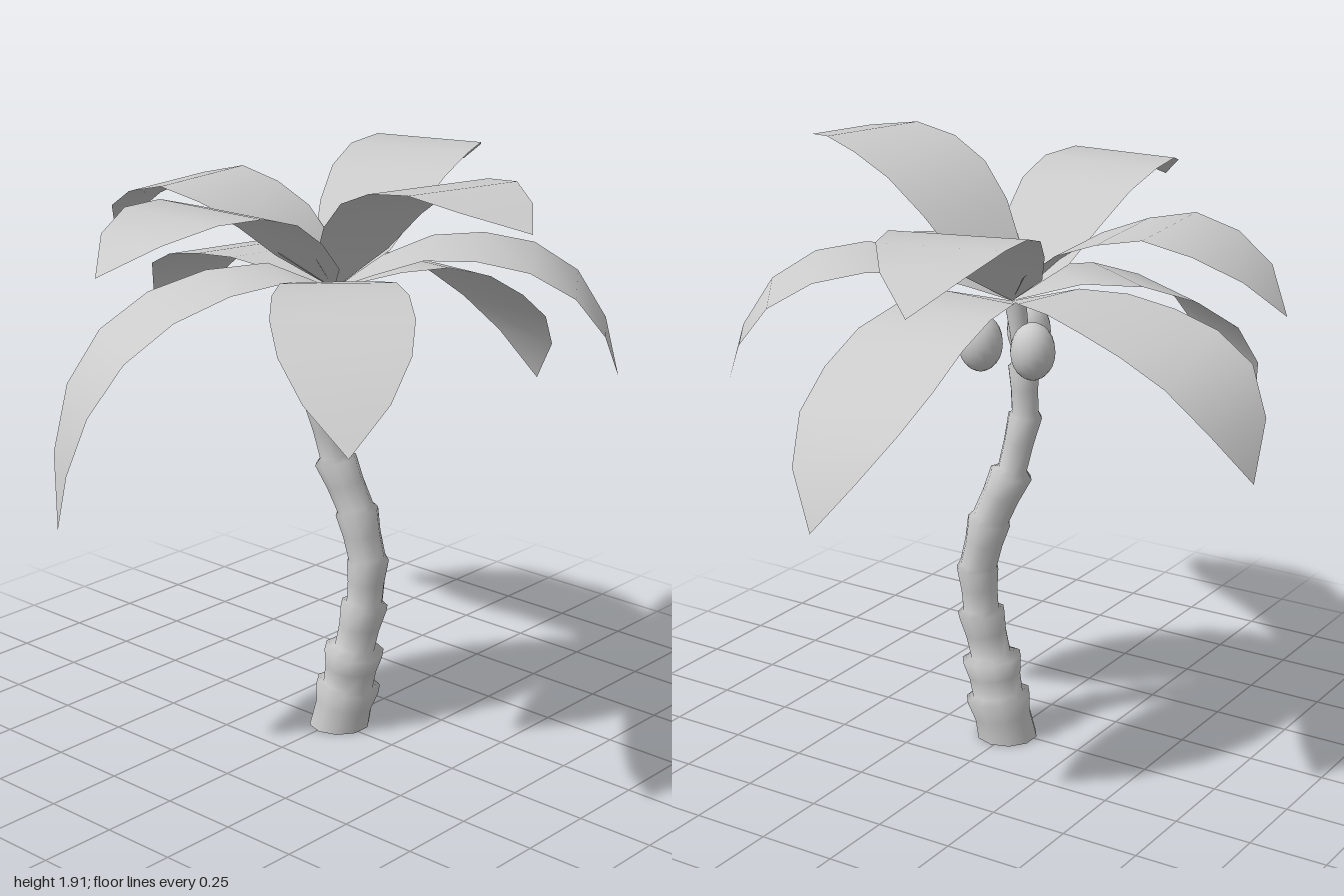
import * as THREE from 'three';

const mat = new THREE.MeshStandardMaterial({ color: 0xcccccc });
const leafMat = new THREE.MeshStandardMaterial({ color: 0xcccccc, side: THREE.DoubleSide });

function indexedGeometry(positions, indices) {
  const g = new THREE.BufferGeometry();
  g.setAttribute('position', new THREE.Float32BufferAttribute(positions, 3));
  g.setIndex(indices);
  g.computeVertexNormals();
  return g;
}

// Trunk: stacked flaring segments along a bent centre line, [x, y, z, lip radius]
function trunkGeometry() {
  const joints = [
    [0.01, 0, -0.015, 0.1], [0.035, 0.14, -0.03, 0.106], [0.06, 0.27, -0.03, 0.098],
    [0.09, 0.43, -0.045, 0.077], [0.1, 0.58, -0.05, 0.069], [0.063, 0.745, -0.038, 0.069],
    [-0.003, 0.91, -0.01, 0.066], [-0.036, 1.1, 0.02, 0.054], [-0.03, 1.26, 0.02, 0.05],
    [-0.008, 1.47, 0.005, 0.035],
  ];
  const rings = [joints[0]];
  for (let i = 1; i < joints.length; i++) {
    const a = joints[i - 1], b = joints[i];
    const mix = (t, r) => [0, 1, 2].map(k => a[k] + (b[k] - a[k]) * t).concat(r);
    if (i > 1) rings.push(mix(0.08, b[3] * 0.86));
    rings.push(mix(0.55, b[3] * 0.88), b);
  }
  const sides = 10, pos = [], idx = [];
  rings.forEach(([x, y, z, r], i) => {
    // Rings lean with the centre line
    const p = rings[Math.max(i - 1, 0)], n = rings[Math.min(i + 1, rings.length - 1)];
    const sx = i ? (n[0] - p[0]) / (n[1] - p[1]) : 0;
    const sz = i ? (n[2] - p[2]) / (n[1] - p[1]) : 0;
    for (let s = 0; s < sides; s++) {
      const t = s / sides * Math.PI * 2;
      const dx = r * Math.sin(t), dz = r * Math.cos(t);
      pos.push(x + dx, y - 0.7 * (sx * dx + sz * dz), z + dz);
      if (i) {
        const c = i * sides + s, d = i * sides + (s + 1) % sides;
        idx.push(c - sides, d - sides, d, c - sides, d, c);
      }
    }
  });
  return indexedGeometry(pos, idx);
}

// Leaf: flat strip bent along an arc of [distance, height] points.
// dir is the [x, z] heading; sway shifts the drooping end sideways.
function leafGeometry(dir, arc, sway = 0) {
  const half = [0, 0.13, 0.172, 0.198, 0.206, 0.186, 0.12, 0];
  const h = new THREE.Vector2(...dir).normalize();
  const curve = new THREE.SplineCurve(arc.map(p => new THREE.Vector2(...p)));
  const pos = [], idx = [];
  curve.getSpacedPoints(half.length - 1).forEach(({ x: r, y }, i) => {
    const shift = sway * Math.max(0, 1.43 - y) * (r > 0.3 ? 1 : 0);
    for (const side of [-1, 1]) {
      const w = side * half[i] + shift;
      pos.push(h.x * r + h.y * w, y, h.y * r - h.x * w);
    }
    if (i) {
      const k = i * 2;
      if (i > 1) idx.push(k - 2, k - 1, k);
      if (i < half.length - 1) idx.push(k - 1, k + 1, k);
      // pointed base
      if (i === 1) idx[0] = 0, idx[1] = 3, idx[2] = 2;
    }
  });
  return indexedGeometry(pos, idx);
}

export function createModel() {
  const root = new THREE.Group();
  root.name = 'palmTree';
  const add = (parent, geo, name, material = mat) => {
    const m = new THREE.Mesh(geo, material);
    m.name = name;
    parent.add(m);
    return m;
  };

  // Trunk with its flat underside
  add(root, trunkGeometry(), 'trunk');
  const base = add(root, new THREE.CircleGeometry(0.1, 10), 'trunkBase');
  base.rotation.x = Math.PI / 2;
  base.position.set(0.01, 0, -0.015);

  // Three coconuts under the crown
  const coconuts = new THREE.Group();
  coconuts.name = 'coconuts';
  root.add(coconuts);
  for (const [x, z] of [[0.015, 0.122], [-0.122, -0.075], [0.065, -0.08]]) {
    const nut = add(coconuts, new THREE.SphereGeometry(0.07, 16, 12), 'coconut');
    nut.scale.y = 1.29;
    nut.position.set(x, 1.345, z);
  }

  // Crown of leaves: heading, arc, sway
  const high = [[0, 1.47], [0.14, 1.59], [0.34, 1.745], [0.57, 1.815], [0.73, 1.81], [0.84, 1.78], [0.99, 1.69]];
  const leaves = [
    [[0.97, 0.28], [[0, 1.47], [0.12, 1.62], [0.28, 1.78], [0.44, 1.86], [0.6, 1.9], [0.75, 1.9], [1.01, 1.84]]],
    [[0.01, 0.99], high],
    [[-0.3, -1], high.map(([r, y]) => [r * 1.05, y])],
    [[-0.89, 0.09], [[0, 1.47], [0.14, 1.62], [0.29, 1.7], [0.52, 1.76], [0.72, 1.7], [0.82, 1.63], [0.895, 1.53]]],
    [[-0.97, -0.25], [[0, 1.47], [0.22, 1.525], [0.48, 1.51], [0.71, 1.46], [0.86, 1.38], [0.95, 1.26], [1, 1.13]]],
    [[0.08, -0.95], [[0, 1.47], [0.2, 1.52], [0.42, 1.49], [0.6, 1.4], [0.78, 1.27], [0.89, 1.14], [0.95, 0.99]]],
    [[0.815, -0.58], [[0, 1.47], [0.14, 1.55], [0.3, 1.61], [0.45, 1.615], [0.61, 1.585], [0.75, 1.5], [0.84, 1.365], [0.88, 1.22]]],
    [[0.72, 0.74], [[0, 1.47], [0.15, 1.53], [0.33, 1.57], [0.52, 1.57], [0.72, 1.52], [0.9, 1.41], [1.05, 1.27]]],
    [[-0.537, 0.844], [[0, 1.47], [0.15, 1.53], [0.33, 1.52], [0.5, 1.47], [0.66, 1.38], [0.79, 1.25], [0.88, 1.05], [0.91, 0.83]], 0.3],
  ];
  const crown = new THREE.Group();
  crown.name = 'crown';
  root.add(crown);
  for (const leaf of leaves) add(crown, leafGeometry(...leaf), 'leaf', leafMat);

  return root;
}
